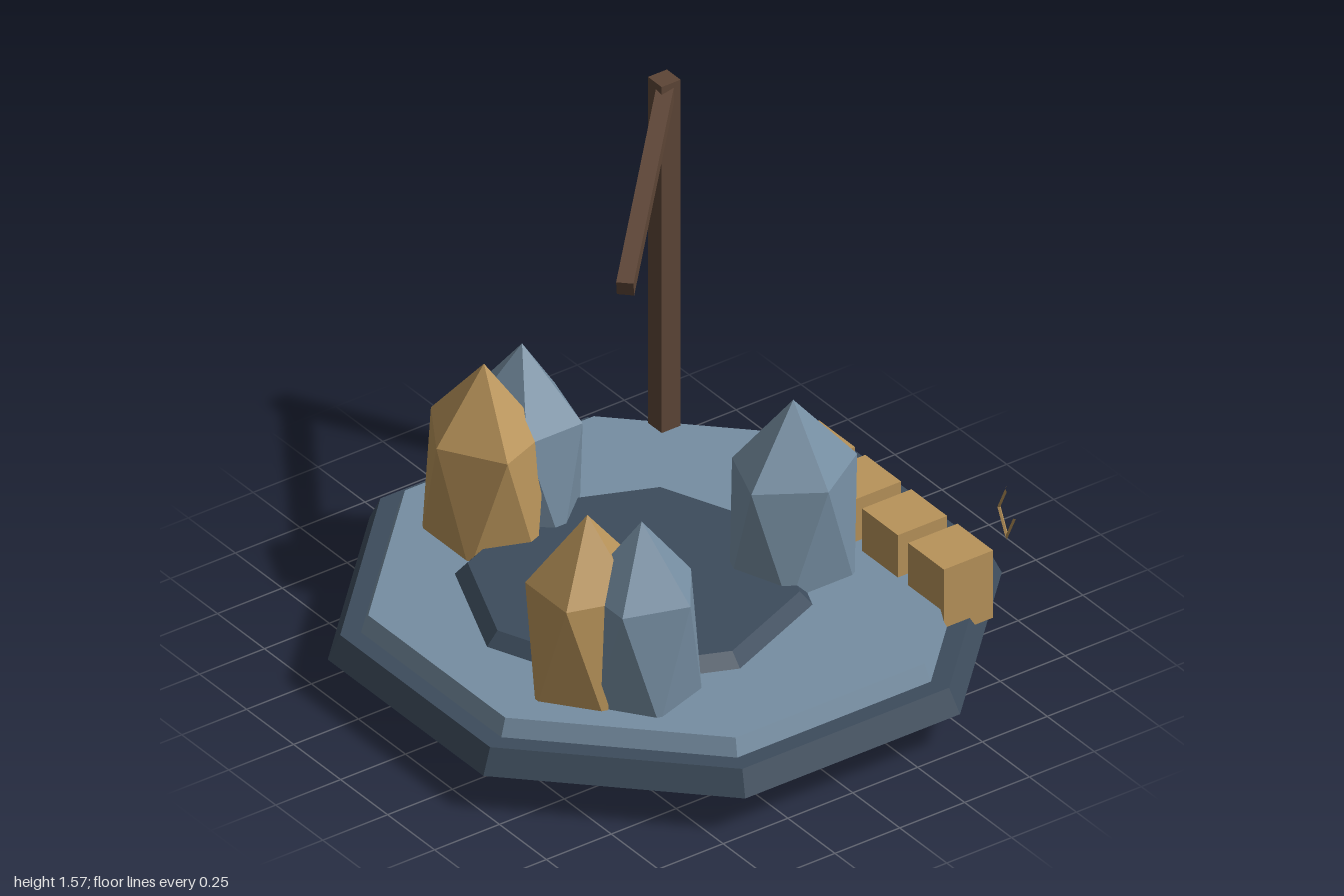
import * as THREE from 'three';

export function createModel() {
  const model = new THREE.Group();
  const mat = (name, color) => {
    const m = new THREE.MeshStandardMaterial({ color, flatShading: true });
    m.name = name;
    return m;
  };
  const darkSlate = mat('dark slate', 0x3d4c5c);
  const blueStone = mat('blue stone', 0x768ea2);
  const gold = mat('gold', 0xb8935a);
  const wood = mat('wood', 0x5d4536);

  const add = (name, geometry, material, x = 0, y = 0, z = 0) => {
    const mesh = new THREE.Mesh(geometry, material);
    mesh.name = name;
    mesh.position.set(x, y, z);
    model.add(mesh);
    return mesh;
  };

  // Tapered octagonal slab given by its top and bottom radii and heights
  const octagon = (name, rTop, rBottom, y0, y1, turn, material, z = 0) =>
    add(name, new THREE.CylinderGeometry(rTop, rBottom, y1 - y0, 8).rotateY(turn),
      material, 0, (y0 + y1) / 2, z);

  // Stepped platform
  octagon('baseStep', 1.042, 1.082, 0.14, 0.225, Math.PI / 8, darkSlate);
  octagon('upperStep', 0.952, 0.975, 0.225, 0.285, Math.PI / 8, blueStone);
  octagon('centreDais', 0.525, 0.57, 0.28, 0.33, 0, darkSlate, 0.12);

  // Crystals: stretched icosahedra standing on a point, sunk through the platform
  const crystals = [
    ['backCrystal', 0.18, -0.365, 0.21, 0.24, Math.PI / 2, blueStone],
    ['rightBlueCrystal', -0.58, 0.13, 0.24, 0.205, -Math.PI / 2, blueStone],
    ['rightGoldCrystal', -0.555, 0.295, 0.24, 0.205, 0, gold],
    ['leftBlueCrystal', 0.47, 0.43, 0.21, 0.213, Math.PI, blueStone],
    ['leftGoldCrystal', 0.34, 0.545, 0.208, 0.222, Math.PI, gold],
  ];
  for (const [name, x, z, sx, sz, turn, material] of crystals) {
    const g = new THREE.IcosahedronGeometry(1, 0)
      .rotateX(-Math.atan((1 + Math.sqrt(5)) / 2))
      .rotateY(turn)
      .scale(sx, 0.447, sz);
    add(name, g, material, x, 0.452, z);
  }

  // Row of crates along the back edge
  for (let i = 0; i < 4; i++) {
    add('crate', new THREE.BoxGeometry(0.19, 0.25, 0.19), gold,
      -0.155 + i * 0.245, 0.317, -0.682);
  }

  // Crane post and sloping arm
  add('cranePost', new THREE.BoxGeometry(0.073, 1.35, 0.073), wood, -0.713, 0.895, -0.515);
  const start = new THREE.Vector3(-0.705, 1.525, -0.515);
  const end = new THREE.Vector3(-0.135, 1.305, 0.055);
  const mid = start.clone().add(end).multiplyScalar(0.5);
  const arm = add('craneArm', new THREE.BoxGeometry(0.055, 0.055, start.distanceTo(end)),
    wood, mid.x, mid.y, mid.z);
  arm.lookAt(end);

  // Angular open hook
  add('hook', new THREE.TorusGeometry(0.042, 0.006, 4, 3, Math.PI * 1.5)
    .rotateZ(Math.PI / 2).scale(1, 2.1, 1), gold, 0.705, 0.587, -0.808);

  return model;
}
